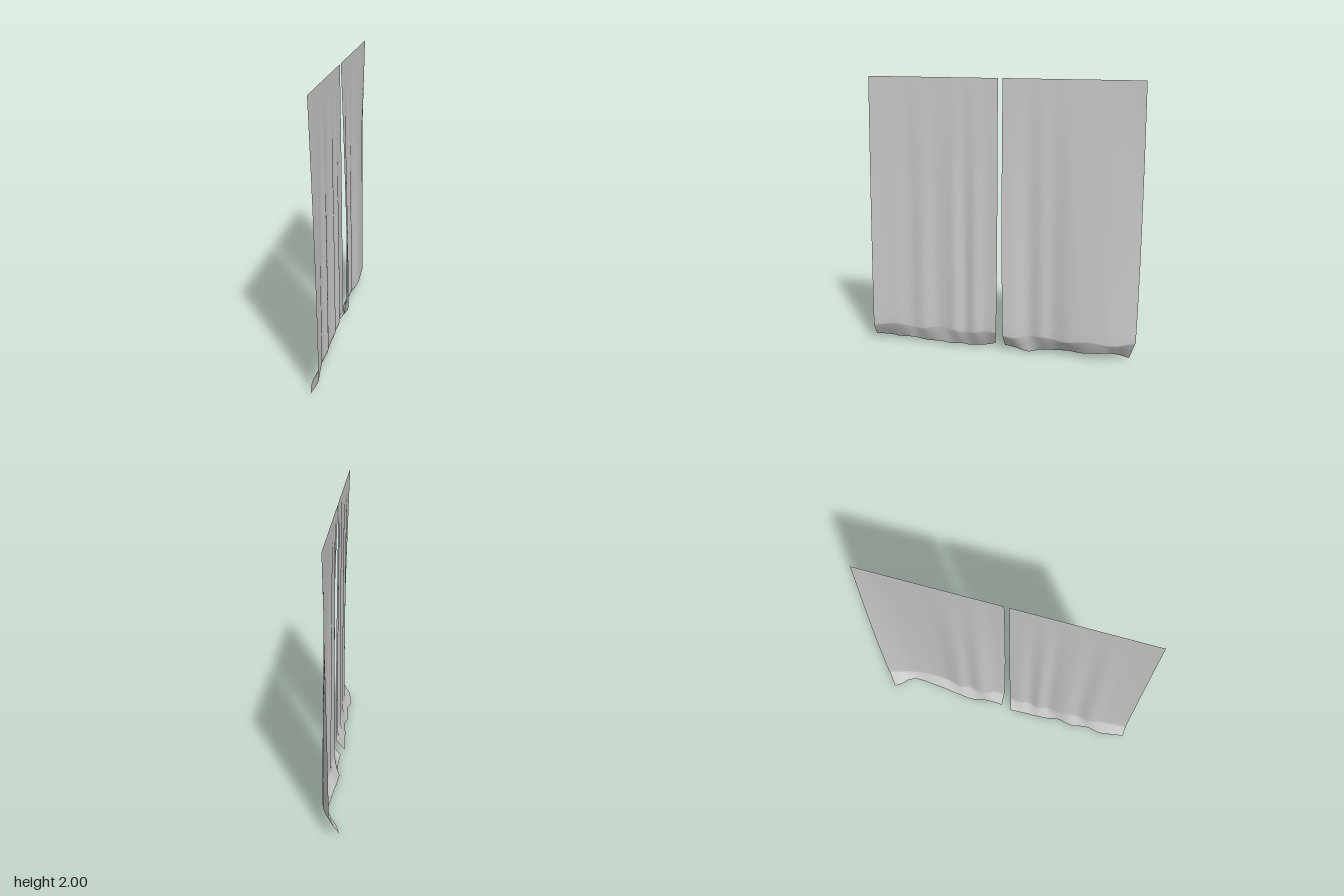
import * as THREE from 'three';

const TOP_X = 0.018, BEND_Y = 0.14;

// Smooth curve through [z, value] keys, giving value at z
function sampler(keys) {
  return (z) => {
    let i = 0;
    while (i < keys.length - 2 && z < keys[i + 1][0]) i++;
    const slope = (k) => {
      const a = keys[Math.max(k - 1, 0)], b = keys[Math.min(k + 1, keys.length - 1)];
      return (b[1] - a[1]) / (b[0] - a[0]);
    };
    const [z0, v0] = keys[i], [z1, v1] = keys[i + 1], d = z1 - z0;
    const t = THREE.MathUtils.clamp((z - z0) / d, 0, 1), t2 = t * t, t3 = t2 * t;
    return (2 * t3 - 3 * t2 + 1) * v0 + (t3 - 2 * t2 + t) * d * slope(i)
      + (3 * t2 - 2 * t3) * v1 + (t3 - t2) * d * slope(i + 1);
  };
}

// Hanging cloth: straight at the top, folds deepening downwards, hem swept back
function makePanel(name, { z0, z1, edge0, edge1, bulge, hemX, hemY }) {
  const bulgeAt = sampler(bulge), hemXAt = sampler(hemX), hemYAt = sampler(hemY);
  const cols = 96, upper = 24, lower = 10, rows = upper + lower;
  const geo = new THREE.PlaneGeometry(1, 1, cols, rows);
  const pos = geo.attributes.position;
  for (let r = 0; r <= rows; r++) {
    for (let c = 0; c <= cols; c++) {
      const u = c / cols, z = THREE.MathUtils.lerp(z0, z1, u);
      const hang = Math.min(r / upper, 1);
      const sweep = Math.max(0, (r - upper) / lower);
      const b = bulgeAt(z), h = hemXAt(z);
      let x = TOP_X + (b - TOP_X) * (1 - (1 - hang) ** 1.4);
      x = THREE.MathUtils.lerp(x, h, sweep ** 1.15);
      const bendY = BEND_Y + 0.01 * Math.sin(z * 17);
      const y = sweep > 0 ? THREE.MathUtils.lerp(bendY, hemYAt(z), sweep)
        : THREE.MathUtils.lerp(2, bendY, hang);
      // Side edges drift a little, then pull in or out along the hem
      const shift = ([mid, end]) => mid * hang ** 3 + end * sweep;
      const w0 = Math.max(0, 1 - u * 6), w1 = Math.max(0, 1 - (1 - u) * 6);
      pos.setXYZ(r * (cols + 1) + c, x, y, z + shift(edge0) * w0 + shift(edge1) * w1);
    }
  }
  geo.computeVertexNormals();
  const mesh = new THREE.Mesh(geo, new THREE.MeshStandardMaterial({
    color: 0xcccccc, side: THREE.DoubleSide,
  }));
  mesh.name = name;
  return mesh;
}

export function createModel() {
  const group = new THREE.Group();
  group.name = 'curtains';

  // Panel on the front half
  group.add(makePanel('frontCurtain', {
    z0: 1, z1: 0.028, edge0: [0, 0], edge1: [0.01, 0.022],
    bulge: [[1, 0.07], [0.9, 0.06], [0.8, 0.05], [0.7, 0.035], [0.6, 0.05], [0.5, 0.03],
      [0.43, 0.036], [0.35, 0.05], [0.28, 0.03], [0.2, 0.05], [0.12, 0.036], [0.03, 0.042]],
    hemX: [[1, 0.018], [0.9, 0], [0.8, -0.008], [0.7, 0.008], [0.57, -0.006], [0.45, 0.012],
      [0.35, -0.005], [0.2, -0.01], [0.03, -0.022]],
    hemY: [[1, 0.035], [0.9, 0.036], [0.82, 0.024], [0.7, 0.034], [0.58, 0.015], [0.47, 0.024],
      [0.4, 0.013], [0.32, 0.016], [0.26, 0.01], [0.17, 0.016], [0.1, 0.024], [0.03, 0.038]],
  }));

  // Panel on the back half, with its outer corner flaring
  group.add(makePanel('backCurtain', {
    z0: -0.006, z1: -1, edge0: [-0.014, 0], edge1: [0.018, 0.052],
    bulge: [[-0.006, 0.072], [-0.1, 0.062], [-0.2, 0.028], [-0.3, 0.046], [-0.38, 0.036],
      [-0.5, 0.062], [-0.6, 0.065], [-0.7, 0.06], [-0.8, 0.05], [-0.9, 0.025], [-1, -0.01]],
    hemX: [[-0.006, 0], [-0.18, 0.008], [-0.27, -0.014], [-0.4, -0.008], [-0.6, 0.014],
      [-0.75, 0.02], [-0.82, -0.005], [-0.9, -0.045], [-1, -0.074]],
    hemY: [[-0.006, 0.04], [-0.1, 0.03], [-0.2, 0.009], [-0.3, 0.028], [-0.4, 0.036],
      [-0.5, 0.045], [-0.6, 0.04], [-0.7, 0.05], [-0.8, 0.056], [-0.88, 0.036], [-1, 0.004]],
  }));
  return group;
}
